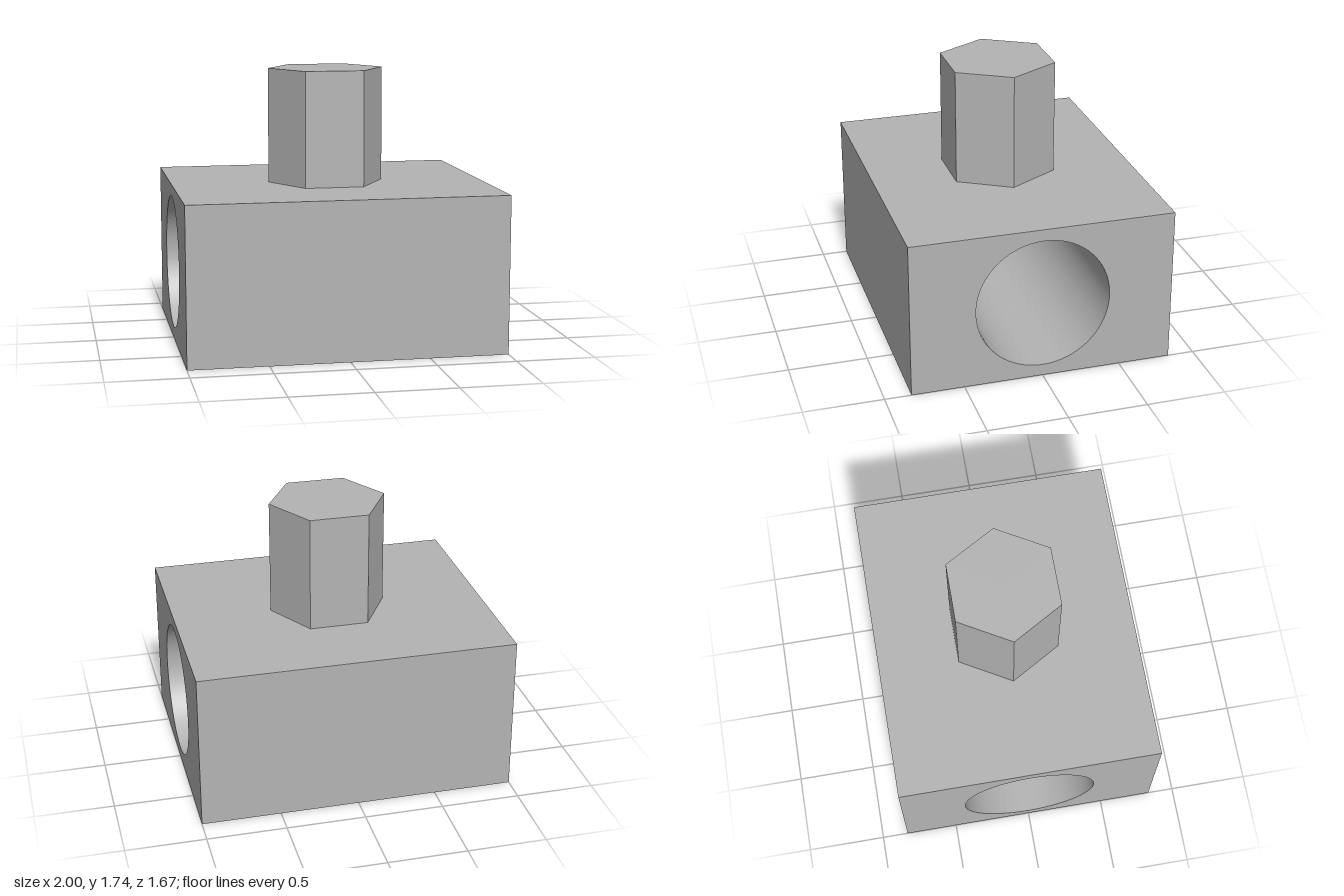
import * as THREE from 'three';
import { toCreasedNormals } from 'three/addons/utils/BufferGeometryUtils.js';

const WIDTH = 2, HEIGHT = 1, DEPTH = 1.667;
const BORE_RADIUS = 0.425;
const POST_RADIUS = 0.373, POST_HEIGHT = 0.735;

export function createModel() {
  const grey = new THREE.MeshStandardMaterial({ color: 0xb4b4b4 });
  grey.name = 'grey';
  const model = new THREE.Group();
  model.name = 'boredBlockWithPost';

  // Block: side outline with a round bore, extruded along x
  const side = new THREE.Shape();
  side.moveTo(-DEPTH / 2, 0);
  side.lineTo(DEPTH / 2, 0);
  side.lineTo(DEPTH / 2, HEIGHT);
  side.lineTo(-DEPTH / 2, HEIGHT);
  side.closePath();
  const bore = new THREE.Path();
  bore.absarc(0, HEIGHT / 2, BORE_RADIUS, 0, Math.PI * 2, true);
  side.holes.push(bore);
  const blockGeometry = new THREE.ExtrudeGeometry(side, {
    depth: WIDTH, bevelEnabled: false, curveSegments: 48,
  });
  blockGeometry.translate(0, 0, -WIDTH / 2).rotateY(Math.PI / 2);
  const block = new THREE.Mesh(toCreasedNormals(blockGeometry, 0.5), grey);
  block.name = 'block';
  model.add(block);

  // Hexagonal post with corners pointing left and right
  const postGeometry = new THREE.CylinderGeometry(POST_RADIUS, POST_RADIUS, POST_HEIGHT, 6);
  postGeometry.rotateY(Math.PI / 2);
  const post = new THREE.Mesh(toCreasedNormals(postGeometry, 0.5), grey);
  post.name = 'hexPost';
  post.position.y = HEIGHT + POST_HEIGHT / 2;
  model.add(post);

  return model;
}
